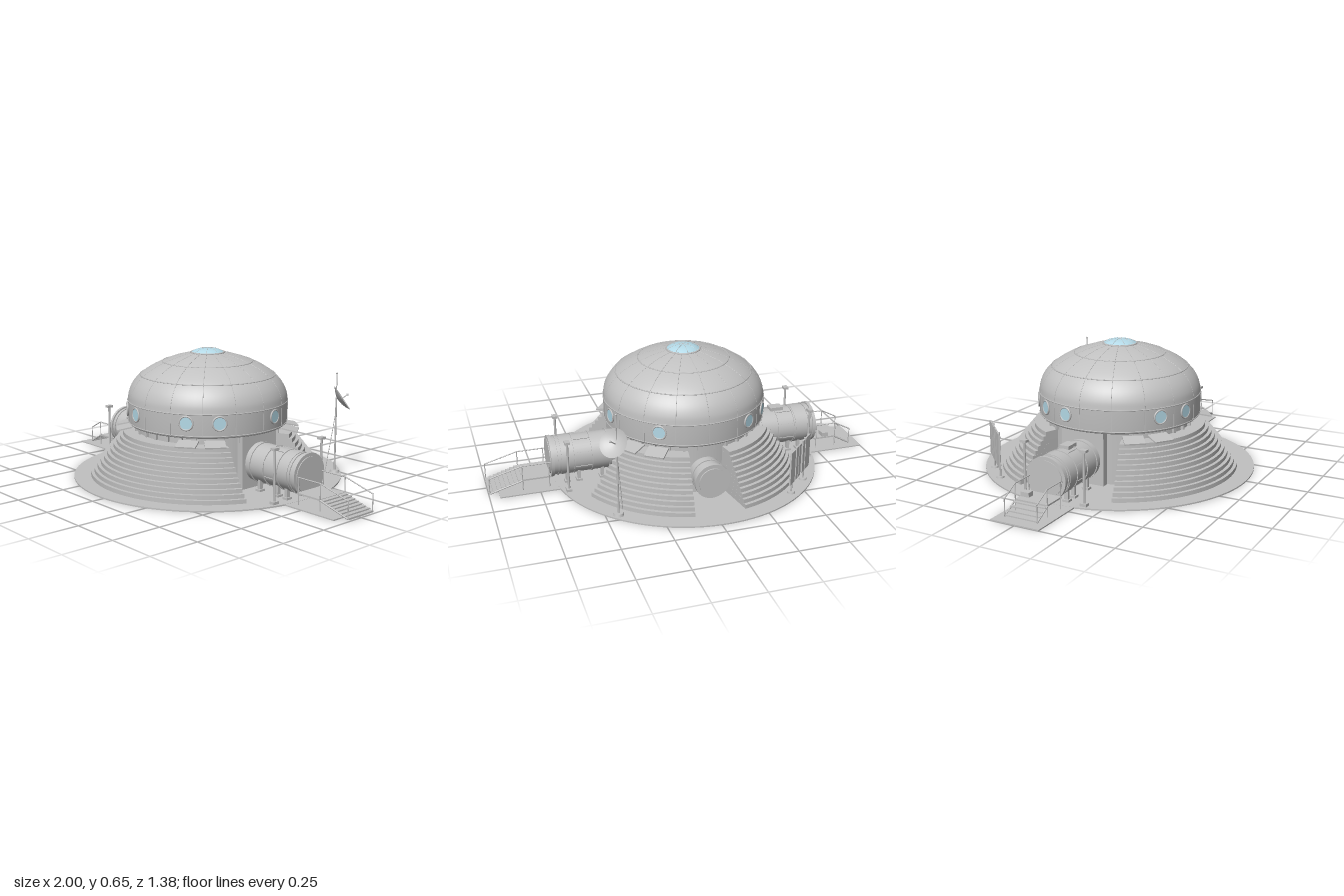
import * as THREE from 'three';

const CX = -0.027; // axis of the dome and round base
const grey = new THREE.MeshStandardMaterial({ color: 0xc1c1c1 });
grey.name = 'hull grey';
const greyOpen = new THREE.MeshStandardMaterial({ color: 0xc1c1c1, side: THREE.DoubleSide });
greyOpen.name = 'hull grey';
const glass = new THREE.MeshStandardMaterial({ color: 0xb6dcea });
glass.name = 'pale blue glass';

const V = (x, y, z) => new THREE.Vector3(x, y, z);
const rad = THREE.MathUtils.degToRad;

function add(parent, name, geo, mat = grey, x = 0, y = 0, z = 0) {
  const m = new THREE.Mesh(geo, mat);
  m.name = name;
  m.position.set(x, y, z);
  parent.add(m);
  return m;
}
const box = (p, name, w, h, d, x, y, z) => add(p, name, new THREE.BoxGeometry(w, h, d), grey, x, y, z);

// round bar between two points
function rod(p, name, a, b, r = 0.003) {
  const m = add(p, name, new THREE.CylinderGeometry(r, r, a.distanceTo(b), 8));
  m.position.copy(a).add(b).multiplyScalar(0.5);
  m.quaternion.setFromUnitVectors(V(0, 1, 0), b.clone().sub(a).normalize());
}
const lathe = (pts, seg = 64) => new THREE.LatheGeometry(pts.map(([r, y]) => new THREE.Vector2(r, y)), seg);
const curveOf = pts => new THREE.CatmullRomCurve3(pts.map(([r, y]) => V(0, y, r)));

function group(parent, name, x = 0, y = 0, z = 0) {
  const g = new THREE.Group();
  g.name = name;
  g.position.set(x, y, z);
  parent.add(g);
  return g;
}

// ring at a height around the vertical axis
function ring(p, name, r, y, t) {
  add(p, name, new THREE.TorusGeometry(r, t, 6, 64).rotateX(Math.PI / 2), grey, 0, y, 0);
}

function buildDome(root) {
  const g = group(root, 'dome', CX);
  add(g, 'core', new THREE.CylinderGeometry(0.365, 0.365, 0.28, 64), grey, 0, 0.14, 0);
  add(g, 'lowerBand', lathe([[0.36, 0.268], [0.4, 0.272], [0.408, 0.282], [0.41, 0.39]]));
  const path = curveOf([[0.41, 0.39], [0.404, 0.43], [0.384, 0.475], [0.345, 0.52], [0.29, 0.558], [0.23, 0.586], [0.16, 0.611], [0.08, 0.63]]);
  add(g, 'shell', lathe(path.getPoints(28).map(p => [p.z, p.y])));
  [[0.408, 0.283], [0.41, 0.39], [0.345, 0.52], [0.23, 0.586]].forEach(([r, y]) => ring(g, 'seamRing', r, y, 0.003));
  // skylight on top
  ring(g, 'skylightFrame', 0.084, 0.63, 0.005);
  const cap = curveOf([[0.083, 0.632], [0.06, 0.644], [0.03, 0.651], [0, 0.653]]);
  add(g, 'skylight', lathe(cap.getPoints(10).map(p => [Math.max(p.z, 0), p.y]), 48), glass);
  for (let i = 0; i < 16; i++) {
    const s = group(g, 'panelSeam');
    s.rotation.y = rad(i * 22.5);
    add(s, 'rib', new THREE.TubeGeometry(path, 28, 0.0014, 5));
    box(s, 'bandRib', 0.003, 0.106, 0.004, 0, 0.336, 0.409);
    if (i % 2 === 0) add(s, 'skylightBar', new THREE.TubeGeometry(cap, 10, 0.0011, 5));
  }
  // blocks under the overhang
  for (let i = 0; i < 32; i++) {
    const s = group(g, 'bracket');
    s.rotation.y = rad(i * 11.25 + 5.6);
    box(s, 'block', 0.012, 0.036, 0.02, 0, 0.256, 0.37);
  }
  // portholes in the lower band
  for (const a of [-33.75, -11.25, 33.75, 56.25, 101.25, 146.25, -146.25, -123.75, -101.25]) {
    const w = group(g, 'porthole');
    w.rotation.y = rad(a);
    add(w, 'pane', new THREE.CylinderGeometry(0.031, 0.031, 0.008, 28).rotateX(Math.PI / 2), glass, 0, 0.347, 0.41);
    add(w, 'frame', new THREE.TorusGeometry(0.0335, 0.0045, 8, 28), grey, 0, 0.347, 0.412);
  }
}

// stepped embankment; angles run counter-clockwise from above,
// and each end narrows by its own rate in degrees per unit of radius
function buildTerrace(root, from, to, shrinkFrom, shrinkTo) {
  const g = group(root, 'terrace', CX);
  const n = 11, outer = 0.605, inner = 0.36, h = 0.228 / n;
  const a = r => rad(from + shrinkFrom * (outer - r));
  const b = r => rad(to - shrinkTo * (outer - r));
  for (let i = 0; i < n; i++) {
    const r = outer - i * 0.0168;
    const s = new THREE.Shape();
    s.absarc(0, 0, r, a(r), b(r), false);
    s.absarc(0, 0, inner, b(inner), a(inner), true);
    s.closePath();
    const geo = new THREE.ExtrudeGeometry(s, { depth: h, bevelEnabled: false, curveSegments: 40 });
    add(g, 'step', geo.rotateX(-Math.PI / 2), grey, 0, 0.007 + i * h, 0);
  }
}

// airlock tunnel with saddles, lamps and boarding deck; side is +1 or -1
function buildTunnel(root, side) {
  const g = group(root, side > 0 ? 'leftTunnel' : 'rightTunnel', CX);
  const tube = (name, r, x0, x1) => add(g, name,
    new THREE.CylinderGeometry(r, r, x1 - x0, 40).rotateZ(Math.PI / 2), grey, side * (x0 + x1) / 2, 0.132, 0);
  box(g, 'vestibule', 0.06, 0.268, 0.23, side * 0.352, 0.138, 0);
  tube('body', 0.097, 0.33, 0.7);
  for (const x of [0.41, 0.5, 0.59, 0.672]) tube('collar', 0.1015, x, x + 0.006);
  tube('endSleeve', 0.1, 0.6, 0.66);
  tube('endFlange', 0.105, 0.696, 0.712);
  tube('door', 0.088, 0.71, 0.716);
  for (let i = 0; i < 8; i++) {
    const a = rad(i * 45 + 22.5);
    const b = box(g, 'stiffener', 0.09, 0.006, 0.006, side * 0.55, 0.132 + 0.097 * Math.sin(a), 0.097 * Math.cos(a));
    b.rotation.x = Math.PI / 2 - a;
  }
  for (const x of [0.45, 0.57, 0.63]) {
    for (const z of [-0.06, 0.06]) {
      box(g, 'saddleLeg', 0.015, 0.055, 0.02, side * x, 0.036, z);
      box(g, 'saddleFoot', 0.03, 0.012, 0.035, side * x, 0.012, z);
    }
  }
  for (const z of [-0.16, 0.16]) {
    const l = group(g, 'lampPost', side * 0.642, 0, z);
    box(l, 'foot', 0.028, 0.014, 0.034, 0, 0.013, 0);
    rod(l, 'post', V(0, 0.01, 0), V(0, 0.265, 0), 0.006);
    box(l, 'lamp', 0.026, 0.012, 0.034, 0, 0.27, 0);
  }
  // deck and stair with handrails
  const d0 = 0.715, d1 = side > 0 ? 0.858 : 0.835, d2 = side > 0 ? 1.027 : 0.925;
  box(g, 'deck', d1 - d0, 0.008, 0.17, side * (d0 + d1) / 2, 0.059, 0);
  const steps = side > 0 ? 8 : 4, run = (d2 - d1) / steps;
  for (let i = 0; i < steps; i++) {
    const t = (i + 0.5) / steps;
    box(g, 'tread', run * (side > 0 ? 1 : 0.7), side > 0 ? 0.008 : 0.006, 0.17, side * (d1 + run * (i + 0.5)), 0.06 - t * 0.052, 0);
  }
  for (const z of [-0.085, 0.085]) {
    const p = (x, y) => V(side * x, y, z);
    rod(g, 'stringer', p(d1, 0.058), p(d2 - 0.004, 0.01), 0.004);
    rod(g, 'handrail', p(d0, 0.137), p(d1, 0.137));
    rod(g, 'handrail', p(d1, 0.137), p(d2 - 0.005, 0.092));
    for (const x of [d0 + 0.01, d1]) rod(g, 'railPost', p(x, 0.005), p(x, 0.137), 0.0025);
    rod(g, 'railPost', p(d2 - 0.005, 0.008), p(d2 - 0.005, 0.092), 0.0025);
  }
  if (side < 0) {
    box(g, 'deckBox', 0.035, 0.022, 0.045, -0.78, 0.074, -0.06);
    box(g, 'roofBox', 0.07, 0.018, 0.05, -0.515, 0.235, 0);
  }
}

function buildBackPort(root) {
  const g = group(root, 'backPort', CX, 0.115, 0);
  const disc = (name, r, z0, z1) => add(g, name,
    new THREE.CylinderGeometry(r, r, z1 - z0, 36).rotateX(Math.PI / 2), grey, 0, 0, -(z0 + z1) / 2);
  disc('body', 0.08, 0.33, 0.465);
  disc('collar', 0.085, 0.4, 0.41);
  disc('flange', 0.089, 0.455, 0.475);
  disc('hatch', 0.07, 0.47, 0.482);
}

function buildDish(root) {
  const g = group(root, 'antenna', 0.44, 0, -0.465);
  add(g, 'foot', new THREE.CylinderGeometry(0.022, 0.026, 0.014, 16), grey, 0, 0.013, 0);
  rod(g, 'mast', V(0, 0.01, 0), V(0, 0.4, 0), 0.0045);
  rod(g, 'whip', V(0, 0.4, 0), V(0, 0.525, 0), 0.0025);
  add(g, 'whipTip', new THREE.SphereGeometry(0.005, 10, 8), grey, 0, 0.526, 0);
  rod(g, 'stay', V(0, 0.33, 0), V(-0.03, 0.01, 0.04), 0.002);
  const dish = group(g, 'dish', 0.008, 0.385, -0.008);
  dish.quaternion.setFromUnitVectors(V(0, 1, 0), V(1, 1, -1).normalize());
  add(dish, 'reflector', lathe([[0, 0], [0.025, 0.003], [0.05, 0.011], [0.07, 0.023]], 32), greyOpen);
  rod(dish, 'feed', V(0, 0, 0), V(0, 0.055, 0), 0.0025);
  add(dish, 'feedHead', new THREE.SphereGeometry(0.006, 10, 8), grey, 0, 0.055, 0);
}

// free-standing panel rack behind the dome
function buildRack(root) {
  const g = group(root, 'panelRack', -0.487, 0, -0.458);
  g.rotation.y = rad(45);
  [[-0.095, 0.06], [-0.04, 0.028], [0.01, 0.028], [0.045, 0.028], [0.1, 0.055]].forEach(([x, w]) =>
    box(g, 'panel', w, 0.175, 0.008, x, 0.157, 0));
  for (const y of [0.085, 0.225]) box(g, 'crossbar', 0.25, 0.007, 0.007, 0, y, 0.006);
  for (const x of [-0.08, 0.08]) {
    rod(g, 'post', V(x, 0.008, 0.008), V(x, 0.24, 0.008), 0.005);
    add(g, 'foot', new THREE.CylinderGeometry(0.018, 0.02, 0.01, 16), grey, x, 0.011, 0.008);
  }
}

export function createModel() {
  const root = new THREE.Group();
  root.name = 'domeHabitat';
  // ground plates
  add(root, 'roundBase', new THREE.CylinderGeometry(0.691, 0.691, 0.007, 96), grey, CX, 0.0035, 0);
  box(root, 'landingStrip', 1.95, 0.006, 0.255, -0.025, 0.003, 0);

  buildDome(root);
  buildTerrace(root, -155.5, -24.5, 20, 20);
  buildTerrace(root, 24.5, 78, 20, 8);
  buildTerrace(root, 102, 155.5, 8, 20);
  [1, -1].forEach(s => buildTunnel(root, s));
  buildBackPort(root);
  buildDish(root);
  buildRack(root);

  // sloping shelves at the top of the terraces
  for (const a of [-53, -35, 35, 53, 127, 145]) {
    const g = group(root, 'shelf', CX, 0.25, 0);
    g.rotation.y = rad(a);
    box(g, 'plate', 0.1, 0.007, 0.08, 0, 0, 0.43).rotation.x = 0.2;
  }
  return root;
}
